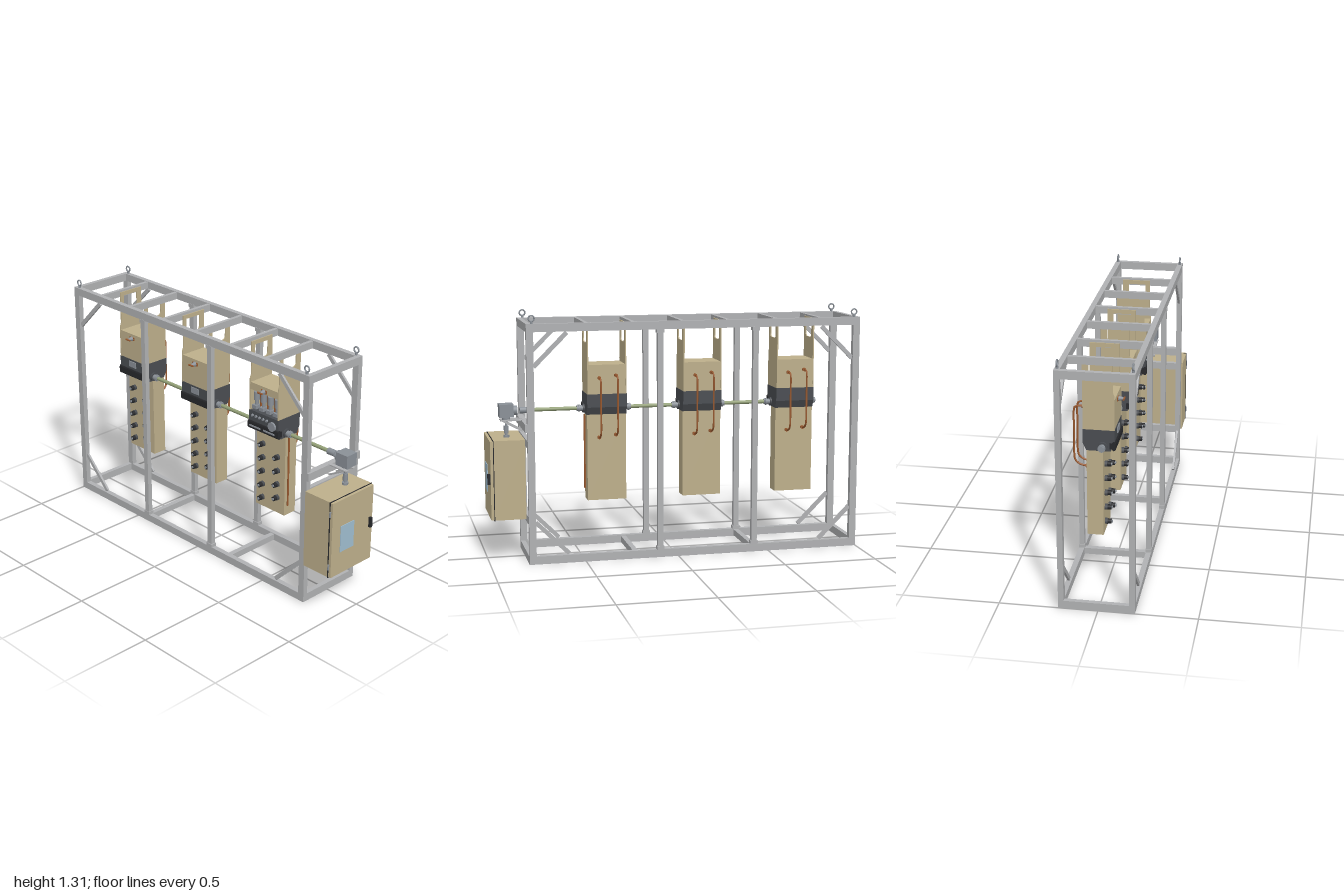
import * as THREE from 'three';

const paint = (name, color) => Object.assign(new THREE.MeshStandardMaterial({ color }), { name });

export function createModel() {
  const M = {
    frame: paint('frame grey', 0xb0b1b3),
    tan: paint('tan sheet', 0xbdaf8b),
    dark: paint('charcoal', 0x4a4d52),
    black: paint('black', 0x28292c),
    steel: paint('steel', 0x8a9097),
    green: paint('shaft green', 0x93a077),
    copper: paint('copper', 0x9a5a30),
    blue: paint('screen blue', 0x9fbdd0),
  };
  const root = new THREE.Group();
  root.name = 'switchgearRack';

  const add = (parent, name, geo, mat, x = 0, y = 0, z = 0) => {
    const m = new THREE.Mesh(geo, mat);
    m.name = name;
    m.position.set(x, y, z);
    parent.add(m);
    return m;
  };
  // box given by its limits on each axis
  const span = (p, name, mat, x0, x1, y0, y1, z0, z1) =>
    add(p, name, new THREE.BoxGeometry(x1 - x0, y1 - y0, z1 - z0), mat, (x0 + x1) / 2, (y0 + y1) / 2, (z0 + z1) / 2);
  // cylinder centred at a point and laid along an axis
  const rod = (p, name, mat, axis, r, len, x, y, z, sides = 20) => {
    const g = new THREE.CylinderGeometry(r, r, len, sides);
    if (axis === 'x') g.rotateZ(Math.PI / 2);
    if (axis === 'z') g.rotateX(Math.PI / 2);
    return add(p, name, g, mat, x, y, z);
  };
  // profile drawn in (z, y) and extruded along x, centred on x
  const extrudeX = (shape, width) => {
    const g = new THREE.ExtrudeGeometry(shape, { depth: width, bevelEnabled: false, curveSegments: 6 });
    return g.translate(0, 0, -width / 2).rotateY(-Math.PI / 2);
  };
  const poly = (pts) => new THREE.Shape(pts.map((p) => new THREE.Vector2(...p)));

  // ---- rack frame ----
  const frame = new THREE.Group();
  frame.name = 'frame';
  root.add(frame);
  const L = -1, R = 0.8, H = 1.26, F = 0.185, B = -0.2;
  for (const [z0, z1] of [[F - 0.028, F], [B, B + 0.028]]) {
    span(frame, 'bottomRail', M.frame, L, R, 0, 0.042, z0, z1);
    span(frame, 'topRail', M.frame, L, R, H - 0.042, H, z0, z1);
    for (const x of [L, R - 0.037]) span(frame, 'cornerPost', M.frame, x, x + 0.037, 0.042, H - 0.042, z0, z1);
    const zc = (z0 + z1) / 2;
    for (const x of [-0.42, 0.098]) {
      span(frame, 'middlePost', M.frame, x - 0.015, x + 0.015, 0.042, H - 0.042, z0 + 0.001, z1 - 0.001);
      for (const y of [0.05, H - 0.05]) span(frame, 'postShoe', M.frame, x - 0.02, x + 0.02, y - 0.01, y + 0.01, z0 - 0.002, z1 + 0.002);
    }
    // corner braces
    for (const [x, sx] of [[-0.876, 1], [0.676, -1]]) {
      for (const [y, sy] of [[0.135, -1], [H - 0.135, 1]]) {
        const b = add(frame, 'cornerBrace', new THREE.BoxGeometry(0.245, 0.022, 0.012), M.frame, x, y, zc);
        b.rotation.z = (sx * sy * Math.PI) / 4;
      }
    }
    // lifting eyes
    for (const x of [-0.97, 0.77]) {
      add(frame, 'liftingEye', new THREE.TorusGeometry(0.015, 0.004, 8, 20), M.steel, x, H + 0.027, zc);
      rod(frame, 'eyeStem', M.steel, 'y', 0.007, 0.014, x, H + 0.006, zc, 12);
    }
  }
  const iz0 = B + 0.028, iz1 = F - 0.028;
  for (const x of [L, R - 0.025]) {
    span(frame, 'endRailBottom', M.frame, x, x + 0.025, 0, 0.042, iz0, iz1);
    span(frame, 'endRailTop', M.frame, x, x + 0.025, H - 0.042, H, iz0, iz1);
  }
  for (const x of [-0.79, -0.545, -0.278, -0.03, 0.235, 0.483])
    span(frame, 'topCrossbar', M.frame, x - 0.01, x + 0.01, H - 0.04, H - 0.002, iz0, iz1);
  for (const x of [-0.42, 0.23])
    span(frame, 'bottomCrossbar', M.frame, x - 0.014, x + 0.014, 0.004, 0.038, iz0, iz1);
  for (const y of [0.23, 0.633]) span(frame, 'cabinetRail', M.frame, R - 0.025, R, y - 0.02, y + 0.02, iz0, iz1);
  span(frame, 'driveRail', M.frame, R - 0.02, R + 0.012, 0.7, 0.743, B, F);

  // ---- switching modules ----
  const W = 0.208;
  const plate = poly([[0.05, 0.87], [0.05, 1.05], [0.042, 1.07], [0.042, 1.25], [-0.108, 1.25], [-0.108, 0.87]]);
  const slot = new THREE.Path();
  slot.moveTo(0.018, 1.228).lineTo(0.018, 1.165).quadraticCurveTo(0.018, 1.143, -0.004, 1.143);
  slot.lineTo(-0.054, 1.143).quadraticCurveTo(-0.076, 1.143, -0.076, 1.165).lineTo(-0.076, 1.228).closePath();
  plate.holes.push(slot);
  const hoodShape = poly([[0.05, 0.875], [0.05, 0.81], [0.03, 0.765], [-0.09, 0.765], [-0.109, 0.805], [-0.109, 0.875]]);

  const buildModule = (cx, open) => {
    const g = new THREE.Group();
    g.name = open ? 'openModule' : 'module';
    g.position.x = cx;
    root.add(g);
    const h = W / 2, SY = 0.79, SZ = -0.01;
    for (const s of [-1, 1]) add(g, 'hangerPlate', extrudeX(plate, 0.006), M.tan, s * (h - 0.003));

    // upper housing
    if (open) {
      span(g, 'housingTop', M.tan, -h + 0.006, h - 0.006, 1.022, 1.03, -0.107, 0.048);
      span(g, 'housingBack', M.tan, -h + 0.006, h - 0.006, 0.87, 1.022, -0.107, -0.02);
      span(g, 'housingHeader', M.tan, -h + 0.006, h - 0.006, 0.99, 1.022, 0.04, 0.048);
      for (let i = 0; i < 4; i++) {
        const x = -0.075 + i * 0.05;
        rod(g, 'valveBody', M.steel, 'y', 0.016, 0.045, x, 0.955, 0.025);
        rod(g, 'valvePipe', M.copper, 'y', 0.007, 0.1, x + 0.02, 0.93, 0.012, 10);
        rod(g, 'valveBase', M.steel, 'y', 0.01, 0.04, x, 0.91, 0.025);
        span(g, 'valveBlock', M.steel, x - 0.015, x + 0.015, 0.885, 0.905, 0.01, 0.045);
      }
    } else {
      span(g, 'housing', M.tan, -h + 0.006, h - 0.006, 0.87, 1.03, -0.107, 0.048);
      span(g, 'namePlate', M.steel, -0.029, 0.029, 0.832, 0.865, 0.05, 0.055);
    }
    // copper test tap
    span(g, 'tapPlate', M.copper, -0.02, 0.02, 0.996, 1.014, 0.046, 0.053);
    const tap = add(g, 'tapNozzle', new THREE.CylinderGeometry(0.006, 0.014, 0.025, 12), M.steel, 0, 1.005, 0.065);
    tap.rotation.x = Math.PI / 2;
    rod(g, 'tapHandle', M.copper, 'x', 0.005, 0.034, 0, 1.005, 0.08, 10);

    // hood and rounded lower band
    add(g, 'hood', extrudeX(hoodShape, W + 0.004), M.dark);
    span(g, 'frontBand', M.black, -h - 0.006, h + 0.006, 0.778, 0.81, 0.025, 0.056);
    for (const y of [0.778, 0.81]) rod(g, 'bandEdge', M.black, 'x', 0.008, W + 0.012, 0, y, 0.046, 12);
    if (open) {
      for (let i = 0; i < 5; i++) rod(g, 'contact', M.steel, 'z', 0.007, 0.01, -0.078 + i * 0.026, 0.85, 0.054, 12);
      rod(g, 'drum', M.steel, 'z', 0.025, 0.012, 0.065, 0.83, 0.055);
      for (const x of [-0.055, 0.045]) span(g, 'linkBar', M.steel, x - 0.04, x + 0.04, 0.787, 0.795, 0.055, 0.06);
    }

    // lower cable box with two staggered columns of glands
    const zf = -0.008;
    span(g, 'lowerBox', M.tan, -h, h, 0.305, 0.768, -0.09, zf);
    const glands = [];
    for (let i = 0; i < 5; i++) glands.push([-0.055, 0.676 - i * 0.079]);
    for (let i = 0; i < 4; i++) glands.push([0.053, 0.634 - i * 0.079]);
    for (const [x, y] of glands) {
      rod(g, 'glandFlange', M.dark, 'z', 0.017, 0.014, x, y, zf + 0.007, 6);
      rod(g, 'glandBody', M.black, 'z', 0.013, 0.024, x, y, zf + 0.02, 14);
      rod(g, 'glandTip', M.steel, 'z', 0.007, 0.008, x, y, zf + 0.034, 12);
    }
    if (open) rod(g, 'sidePipe', M.copper, 'y', 0.005, 0.4, h + 0.004, 0.56, -0.03, 10);

    // copper pipes bridging the hood at the back
    for (const [x, d] of [[-0.048, 0], [0.042, 0.012]]) {
      const path = new THREE.CatmullRomCurve3([
        [-0.1, 0.973], [-0.14, 0.973], [-0.156, 0.967], [-0.161, 0.95], [-0.161, 0.83],
        [-0.161, 0.7], [-0.155, 0.68], [-0.135, 0.663], [-0.115, 0.657], [-0.085, 0.655],
      ].map(([z, y]) => new THREE.Vector3(x, y - d, z)), false, 'centripetal');
      add(g, 'bridgePipe', new THREE.TubeGeometry(path, 36, 0.005, 8), M.copper);
      rod(g, 'pipeNutTop', M.copper, 'z', 0.01, 0.016, x, 0.973 - d, -0.114, 6);
      rod(g, 'pipeNutBottom', M.copper, 'z', 0.01, 0.016, x, 0.655 - d, -0.097, 6);
    }
    // shaft couplings on both sides
    for (const s of [-1, 1]) {
      rod(g, 'bearing', M.dark, 'x', 0.024, 0.01, s * (h + 0.006), SY, SZ);
      rod(g, 'coupling', M.steel, 'x', 0.015, 0.035, s * (h + 0.025), SY, SZ);
      rod(g, 'couplingCollar', M.steel, 'x', 0.019, 0.01, s * (h + 0.03), SY, SZ);
    }
  };
  [-0.67, -0.152, 0.366].forEach((x, i) => buildModule(x, i === 2));

  // ---- drive shaft and actuator ----
  rod(root, 'driveShaft', M.green, 'x', 0.01, 1.56, 0.03, 0.79, -0.01);
  const drive = new THREE.Group();
  drive.name = 'actuator';
  root.add(drive);
  rod(drive, 'shaftCollar', M.steel, 'x', 0.017, 0.05, 0.79, 0.79, -0.01);
  rod(drive, 'gearFlange', M.steel, 'x', 0.026, 0.022, 0.84, 0.79, -0.008);
  span(drive, 'gearBox', M.steel, 0.85, 0.925, 0.757, 0.826, -0.041, 0.031);
  rod(drive, 'gearNeck', M.steel, 'y', 0.02, 0.02, 0.887, 0.748, -0.005);
  rod(drive, 'stem', M.steel, 'y', 0.007, 0.1, 0.887, 0.7, -0.005);
  rod(drive, 'stemJoint', M.steel, 'y', 0.013, 0.04, 0.887, 0.69, -0.005);
  rod(drive, 'stemFoot', M.steel, 'y', 0.016, 0.012, 0.887, 0.655, -0.005);
  for (const z of [-0.032, 0.022]) {
    span(drive, 'supportArm', M.frame, 0.8, 0.92, 0.738, 0.744, z - 0.01, z + 0.01);
    const strut = add(drive, 'supportStrut', new THREE.BoxGeometry(0.125, 0.008, 0.01), M.frame, 0.858, 0.712, z);
    strut.rotation.z = 0.5;
  }

  // ---- control cabinet ----
  const cab = new THREE.Group();
  cab.name = 'controlCabinet';
  root.add(cab);
  span(cab, 'cabinetBody', M.tan, 0.802, 0.966, 0.226, 0.648, -0.112, 0.194);
  span(cab, 'doorSeal', M.black, 0.966, 0.97, 0.222, 0.648, -0.114, 0.196);
  span(cab, 'door', M.tan, 0.97, 0.985, 0.227, 0.645, -0.11, 0.192);
  span(cab, 'screen', M.blue, 0.985, 0.988, 0.352, 0.498, 0.03, 0.13);
  span(cab, 'handle', M.black, 0.985, 1.0, 0.415, 0.47, -0.097, -0.083);
  for (const y of [0.285, 0.582]) rod(cab, 'hinge', M.steel, 'y', 0.005, 0.03, 0.972, y, 0.196, 10);
  rod(cab, 'cableGland', M.black, 'y', 0.013, 0.022, 0.872, 0.215, 0.04);

  return root;
}
